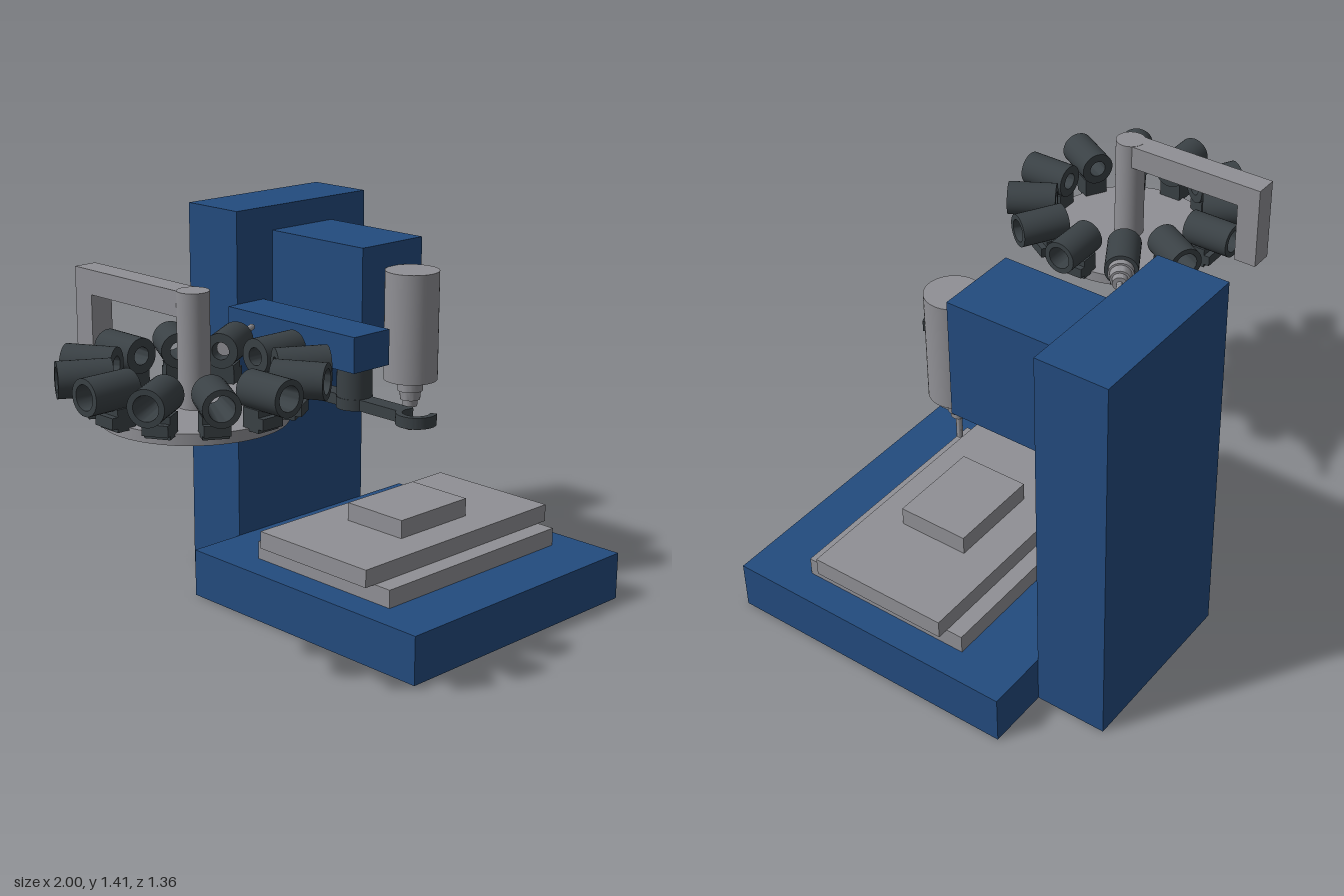
import * as THREE from 'three';
import { toCreasedNormals } from 'three/addons/utils/BufferGeometryUtils.js';

export function createModel() {
  const model = new THREE.Group();
  model.name = 'millingMachine';
  const mat = (name, color) => {
    const m = new THREE.MeshStandardMaterial({ color });
    m.name = name;
    return m;
  };
  const blue = mat('paintedBlue', 0x234b7e);
  const grey = mat('machinedGrey', 0x909095);
  const dark = mat('darkSteel', 0x3a4145);

  const add = (parent, name, geometry, material, x = 0, y = 0, z = 0) => {
    const mesh = new THREE.Mesh(geometry, material);
    mesh.name = name;
    mesh.position.set(x, y, z);
    parent.add(mesh);
    return mesh;
  };
  // Box given by its limits on each axis
  const box = (parent, name, material, [x0, x1], [y0, y1], [z0, z1]) =>
    add(parent, name, new THREE.BoxGeometry(x1 - x0, y1 - y0, z1 - z0), material,
      (x0 + x1) / 2, (y0 + y1) / 2, (z0 + z1) / 2);
  // Upright cylinder between two heights
  const post = (parent, name, material, r, y0, y1, x = 0, z = 0) =>
    add(parent, name, new THREE.CylinderGeometry(r, r, y1 - y0, 48), material, x, (y0 + y1) / 2, z);
  // Turned part with sharp edges
  const turned = (points) => toCreasedNormals(
    new THREE.LatheGeometry(points.map(([r, y]) => new THREE.Vector2(r, y)), 32), 0.6);

  // Frame
  box(model, 'base', blue, [-0.1, 1], [0, 0.178], [-0.42, 0.68]);
  box(model, 'column', blue, [0.12, 0.775], [0, 1.41], [-0.68, -0.42]);
  box(model, 'head', blue, [0.295, 0.6], [0.885, 1.32], [-0.42, 0.04]);

  // Work table
  box(model, 'saddle', grey, [0.01, 0.89], [0.178, 0.245], [-0.195, 0.46]);
  box(model, 'table', grey, [-0.035, 0.93], [0.245, 0.31], [-0.135, 0.39]);
  box(model, 'workpiece', grey, [0.275, 0.62], [0.31, 0.378], [0, 0.265]);

  // Spindle and its cutting tool, tool tip along +y before placing
  const toolGeometry = turned([
    [0, -0.12], [0.025, -0.12], [0.036, 0], [0.046, 0], [0.046, 0.042], [0.039, 0.042],
    [0.036, 0.075], [0.028, 0.075], [0.026, 0.1], [0.011, 0.1], [0.011, 0.19], [0, 0.19],
  ]);
  post(model, 'spindle', grey, 0.097, 0.84, 1.235, 0.45, 0.134);
  add(model, 'spindleTool', toolGeometry, grey, 0.45, 0.84, 0.134).rotation.x = Math.PI;

  // Tool changer: housing, shaft and a double-hooked arm
  box(model, 'changerHousing', blue, [0.077, 0.25], [0.943, 1.07], [-0.42, 0.215]);
  const changer = new THREE.Group();
  changer.name = 'changerArm';
  changer.position.set(0.163, 0, 0.135);
  model.add(changer);
  post(changer, 'changerShaft', dark, 0.062, 0.835, 0.943);
  post(changer, 'changerHub', dark, 0.064, 0.795, 0.835);
  box(changer, 'changerBar', dark, [-0.032, 0.032], [0.795, 0.835], [-0.235, 0.235]);
  const hook = new THREE.Shape();
  hook.absarc(0, 0, 0.07, 0.95, Math.PI * 2 - 0.95, false);
  hook.absarc(0, 0, 0.047, Math.PI * 2 - 0.95, 0.95, true);
  hook.closePath();
  const hookGeometry = toCreasedNormals(
    new THREE.ExtrudeGeometry(hook, { depth: 0.04, bevelEnabled: false, curveSegments: 28 })
      .rotateX(Math.PI / 2).translate(0, 0.835, 0.29), 0.6);
  for (const turn of [0, Math.PI]) add(changer, 'changerHook', hookGeometry, dark).rotation.y = turn;

  // Carousel with its hanger
  const carousel = new THREE.Group();
  carousel.name = 'toolCarousel';
  carousel.position.set(-0.562, 0, 0.13);
  model.add(carousel);
  post(carousel, 'carouselDisc', grey, 0.305, 0.905, 0.943);
  post(carousel, 'carouselPost', grey, 0.053, 0.943, 1.32);
  box(carousel, 'hangerArm', grey, [-0.042, 0.042], [1.235, 1.319], [-0.55, 0]);
  box(carousel, 'hangerDrop', grey, [-0.042, 0.042], [1.015, 1.235], [-0.55, -0.466]);

  // Twelve radial tool holders on brackets
  const holderGeometry = turned([
    [0.03, 0.263], [0.06, 0.263], [0.06, 0.438], [0.041, 0.438], [0.03, 0.263],
  ]).rotateZ(-Math.PI / 2);
  for (let i = 0; i < 12; i++) {
    const station = new THREE.Group();
    station.name = 'toolStation';
    station.rotation.y = (i * Math.PI) / 6;
    carousel.add(station);
    add(station, 'toolHolder', holderGeometry, dark, 0, 1.057, 0);
    box(station, 'holderBracket', dark, [0.275, 0.345], [0.935, 1.008], [-0.042, 0.042]);
    box(station, 'bracketLip', dark, [0.345, 0.366], [0.948, 0.985], [-0.042, 0.042]);
    if (i === 1) {
      add(station, 'storedTool', toolGeometry, grey, 0.42, 1.057, 0).rotation.z = -Math.PI / 2;
    }
  }
  return model;
}
